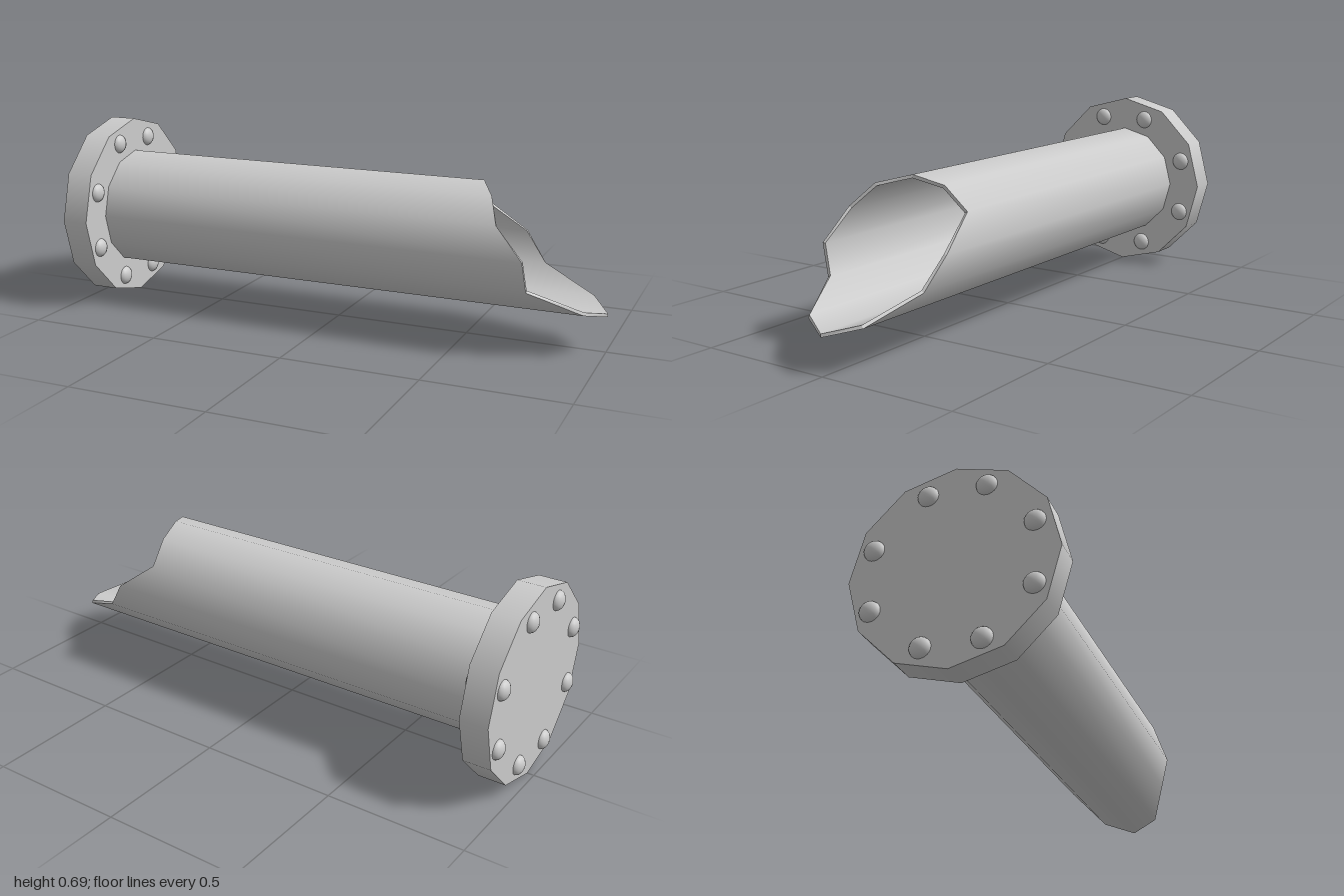
import * as THREE from 'three';

const SIDES = 12;
const CENTER_Y = 0.347;
const STEP = (Math.PI * 2) / SIDES;
const OUTER = 0.22, INNER = 0.208;
const PIPE_START = -0.9;

// x of the broken end at each side, from the top round towards +z
const BREAK = [0.55, 0.61, 0.65, 0.75, 0.76, 0.94, 1.0, 0.93, 0.735, 0.655, 0.505, 0.52];

// Tube wall along x whose far end follows the broken edge
function wallGeometry(radius, inward) {
  const geo = new THREE.CylinderGeometry(radius, radius, 2, SIDES, 1, true);
  geo.rotateZ(-Math.PI / 2);
  const pos = geo.attributes.position;
  for (let i = 0; i < pos.count; i++) {
    const turn = Math.round(Math.atan2(pos.getZ(i), pos.getY(i)) / STEP);
    const side = (turn + SIDES) % SIDES;
    pos.setX(i, pos.getX(i) > 0 ? BREAK[side] : PIPE_START);
  }
  if (inward) {
    geo.index.array.reverse();
    const normals = geo.attributes.normal.array;
    for (let i = 0; i < normals.length; i++) normals[i] *= -1;
  }
  return geo;
}

// Narrow strip joining the outer and inner walls at the break
function rimGeometry() {
  const point = (i, r) => {
    const a = i * STEP;
    return [BREAK[i % SIDES], r * Math.cos(a), r * Math.sin(a)];
  };
  const verts = [];
  for (let i = 0; i < SIDES; i++) {
    const a = point(i, OUTER), b = point(i + 1, OUTER);
    const c = point(i + 1, INNER), d = point(i, INNER);
    verts.push(...a, ...b, ...c, ...a, ...c, ...d);
  }
  const geo = new THREE.BufferGeometry();
  geo.setAttribute('position', new THREE.Float32BufferAttribute(verts, 3));
  geo.computeVertexNormals();
  return geo;
}

export function createModel() {
  const model = new THREE.Group();
  model.name = 'brokenPipe';
  const grey = new THREE.MeshStandardMaterial({ color: 0xcccccc });

  const add = (parent, name, geo, x = 0, y = 0, z = 0) => {
    const mesh = new THREE.Mesh(geo, grey);
    mesh.name = name;
    mesh.position.set(x, y, z);
    parent.add(mesh);
    return mesh;
  };

  // Pipe with a jagged open end
  const pipe = new THREE.Group();
  pipe.name = 'pipe';
  pipe.position.y = CENTER_Y;
  add(pipe, 'outerWall', wallGeometry(OUTER, false));
  add(pipe, 'innerWall', wallGeometry(INNER, true));
  add(pipe, 'brokenRim', rimGeometry());
  model.add(pipe);

  // Flange closing the other end
  const flangeGeo = new THREE.CylinderGeometry(0.346, 0.346, 0.1, SIDES);
  flangeGeo.rotateZ(-Math.PI / 2);
  add(model, 'flange', flangeGeo, -0.926, CENTER_Y, 0);

  // Rounded bolt heads on both faces of the flange
  const bolts = new THREE.Group();
  bolts.name = 'bolts';
  const boltGeo = new THREE.SphereGeometry(0.035, 16, 12);
  boltGeo.scale(0.68, 1, 1);
  const rows = [
    [0.608, 0.104, -0.091],
    [0.447, 0.262, -0.265],
    [0.234, 0.262, -0.265],
    [0.083, 0.104, -0.091],
  ];
  for (const [y, zFront, zBack] of rows) {
    for (const z of [zFront, zBack]) {
      add(bolts, 'outerBolt', boltGeo, -0.976, y, z);
      add(bolts, 'innerBolt', boltGeo, -0.879, y, z);
    }
  }
  model.add(bolts);

  return model;
}
